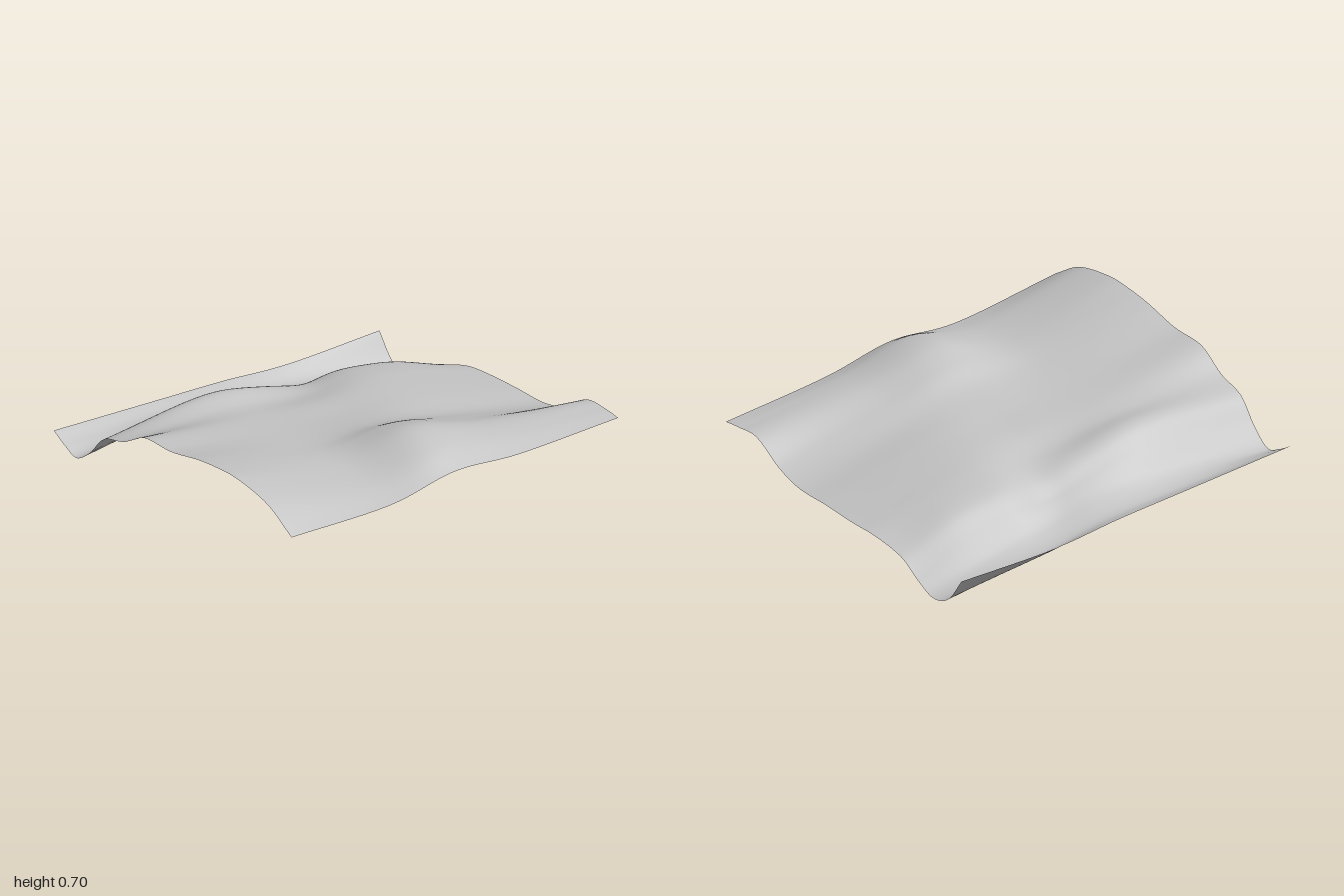
import * as THREE from 'three';

const { smoothstep } = THREE.MathUtils;

// Columns of the cloth, from its right edge (-x) to its left edge (+x)
const COLUMNS = [-1, -0.4, 0, 0.4, 1];

// Folds from front to back: z, then the height at each column
const FOLDS = [
  [0.81, 0.585, 0.515, 0.535, 0.47, 0.42],
  [0.67, 0.675, 0.545, 0.6, 0.505, 0.425],
  [0.5, 0.705, 0.555, 0.62, 0.51, 0.415],
  [0.35, 0.695, 0.55, 0.575, 0.465, 0.315],
  [0.2, 0.67, 0.53, 0.5, 0.42, 0.265],
  [0, 0.62, 0.505, 0.455, 0.41, 0.25],
  [-0.2, 0.6, 0.485, 0.43, 0.395, 0.23],
  [-0.35, 0.51, 0.465, 0.395, 0.375, 0.21],
  [-0.5, 0.455, 0.475, 0.39, 0.335, 0.15],
  [-0.6, 0.34, 0.395, 0.32, 0.26, 0.065],
  [-0.7, 0.265, 0.29, 0.25, 0.165, 0.01],
  [-0.8, 0.29, 0.25, 0.21, 0.125, 0.04],
  [-0.89, 0.33, 0.27, 0.23, 0.18, 0.16],
];

const spline = (points) => new THREE.CatmullRomCurve3(points, false, 'catmullrom', 0.5);

// Soft local swelling or dent in the cloth
const bump = (p, x, z, width, depth) =>
  Math.exp(-(((p.x - x) / width) ** 2) - ((p.z - z) / depth) ** 2);

// Smooth curve across one fold; the sides draw in and the hems slant
function foldCurve([z, ...heights]) {
  const leftEdge = 0.985 - 0.075 * smoothstep(-z, 0.2, 0.75) + 0.015 * smoothstep(z, 0.35, 0.6);
  const rightEdge = 0.99 + 0.01 * z;
  const slant = -0.27 * Math.max(0, z - 0.5) - 0.1 * Math.max(0, -z - 0.7);
  return spline(COLUMNS.map((x, i) => new THREE.Vector3(
    x * (x > 0 ? 1 + (leftEdge - 1) * x : rightEdge), heights[i], z + slant * x)));
}

export function createModel() {
  const group = new THREE.Group();
  group.name = 'drapedCloth';

  const clothGrey = new THREE.MeshStandardMaterial({ color: 0xc4c4c4, side: THREE.DoubleSide });
  clothGrey.name = 'clothGrey';

  // Sheet: a plane lofted through the folds
  const steps = 96;
  const geometry = new THREE.PlaneGeometry(1, 1, steps, steps);
  const position = geometry.attributes.position;
  const folds = FOLDS.map(foldCurve);
  for (let i = 0; i <= steps; i++) {
    const column = spline(folds.map((fold) => fold.getPoint(i / steps)));
    for (let j = 0; j <= steps; j++) {
      const p = column.getPoint(1 - j / steps);
      const y = p.y - 0.04 * bump(p, 0.18, -0.55, 0.15, 0.15) + 0.025 * bump(p, 0.68, -0.52, 0.2, 0.14);
      position.setXYZ(j * (steps + 1) + i, p.x, Math.max(y, 0), p.z);
    }
  }
  geometry.computeVertexNormals();

  const sheet = new THREE.Mesh(geometry, clothGrey);
  sheet.name = 'clothSheet';
  group.add(sheet);
  return group;
}
